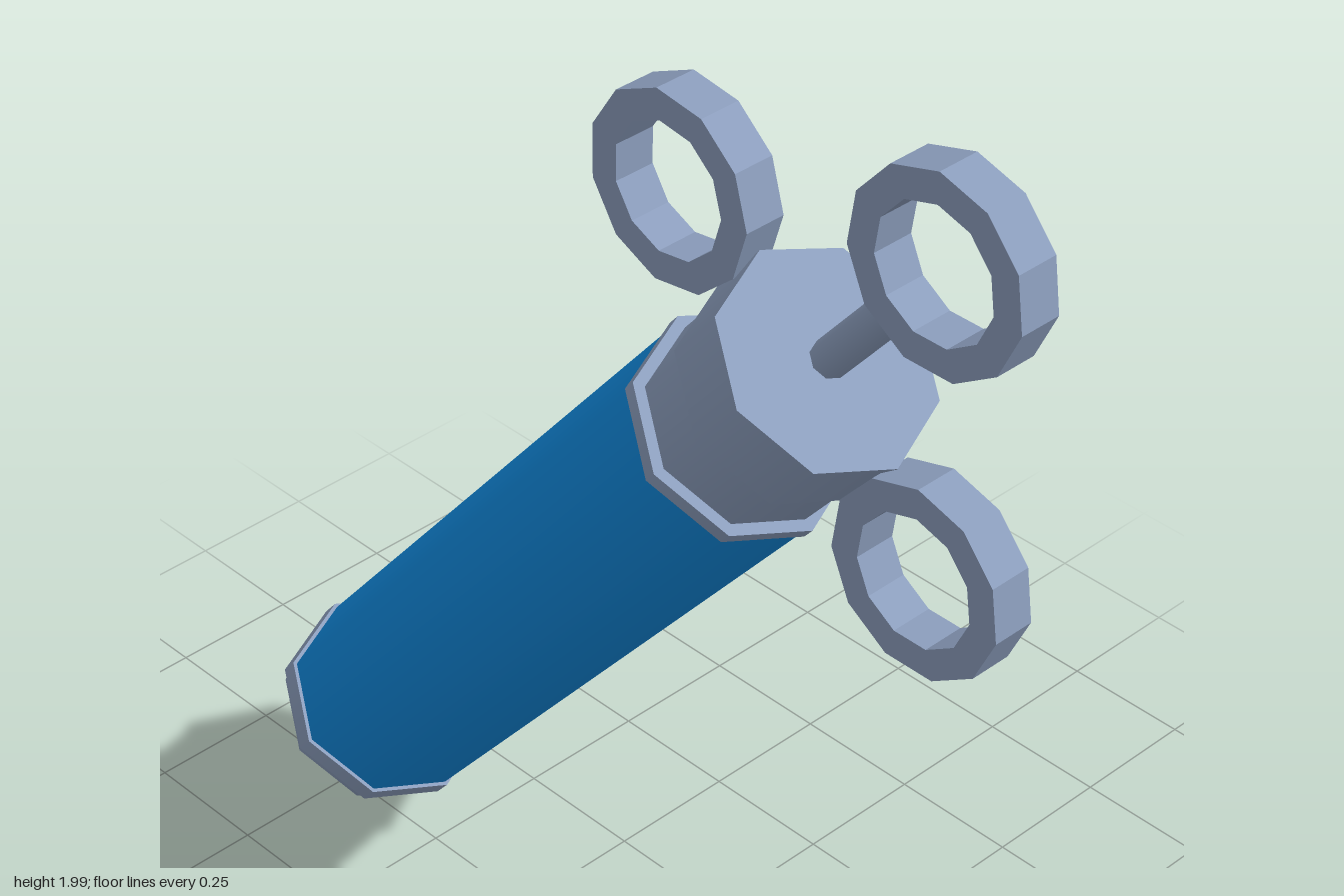
import * as THREE from 'three';

const SIDES = 8;
const RING_SIDES = 11;

export function createModel() {
  const blue = new THREE.MeshStandardMaterial({ color: 0x1189dd });
  blue.name = 'barrel blue';
  const steel = new THREE.MeshStandardMaterial({ color: 0x8c9ebd });
  steel.name = 'steel grey';

  const model = new THREE.Group();
  model.name = 'syringe';

  // Everything is stacked along the local y axis, then the whole tool is tilted
  const body = new THREE.Group();
  body.name = 'tiltedBody';
  body.position.set(-0.829, 0.028, 0);
  body.rotation.z = THREE.MathUtils.degToRad(-40);
  model.add(body);

  // Round section from y0 (radius r0) up to y1 (radius r1)
  function section(name, y0, y1, r0, r1, material = steel) {
    const mesh = new THREE.Mesh(
      new THREE.CylinderGeometry(r1, r0, y1 - y0, SIDES), material);
    mesh.position.y = (y0 + y1) / 2;
    mesh.name = name;
    body.add(mesh);
  }

  // Nozzle and lower cap
  section('nozzle', 0, 0.21, 0.037, 0.068);
  section('noseCone', 0.2, 0.25, 0.068, 0.178);
  section('noseCollar', 0.25, 0.295, 0.178, 0.19);
  section('lowerFlange', 0.293, 0.335, 0.197, 0.197);

  // Barrel
  section('barrel', 0.33, 1.71, 0.19, 0.19, blue);

  // Upper cap and plunger rod
  section('upperFlange', 1.7, 1.727, 0.197, 0.197);
  section('capNeck', 1.72, 1.865, 0.176, 0.176);
  section('capHead', 1.86, 1.992, 0.194, 0.194);
  section('plungerRod', 1.98, 2.2, 0.033, 0.033);

  // Finger rings: flat polygonal bands
  function polygon(path, radius, start) {
    for (let i = 0; i < RING_SIDES; i++) {
      const a = start + (i / RING_SIDES) * Math.PI * 2;
      path[i ? 'lineTo' : 'moveTo'](radius * Math.cos(a), radius * Math.sin(a));
    }
    path.closePath();
    return path;
  }

  function ring(name, x, y, degrees) {
    const start = THREE.MathUtils.degToRad(degrees);
    const shape = polygon(new THREE.Shape(), 0.17, start);
    shape.holes.push(polygon(new THREE.Path(), 0.116, start));
    const depth = 0.078;
    const geometry = new THREE.ExtrudeGeometry(shape, { depth, bevelEnabled: false });
    geometry.translate(0, 0, -depth / 2);
    const mesh = new THREE.Mesh(geometry, steel);
    mesh.position.set(x, y, 0);
    mesh.name = name;
    body.add(mesh);
  }

  ring('thumbRing', 0, 2.351, 130);
  ring('leftFingerRing', 0.348, 1.927, 130);
  ring('rightFingerRing', -0.348, 1.927, 40);

  return model;
}
